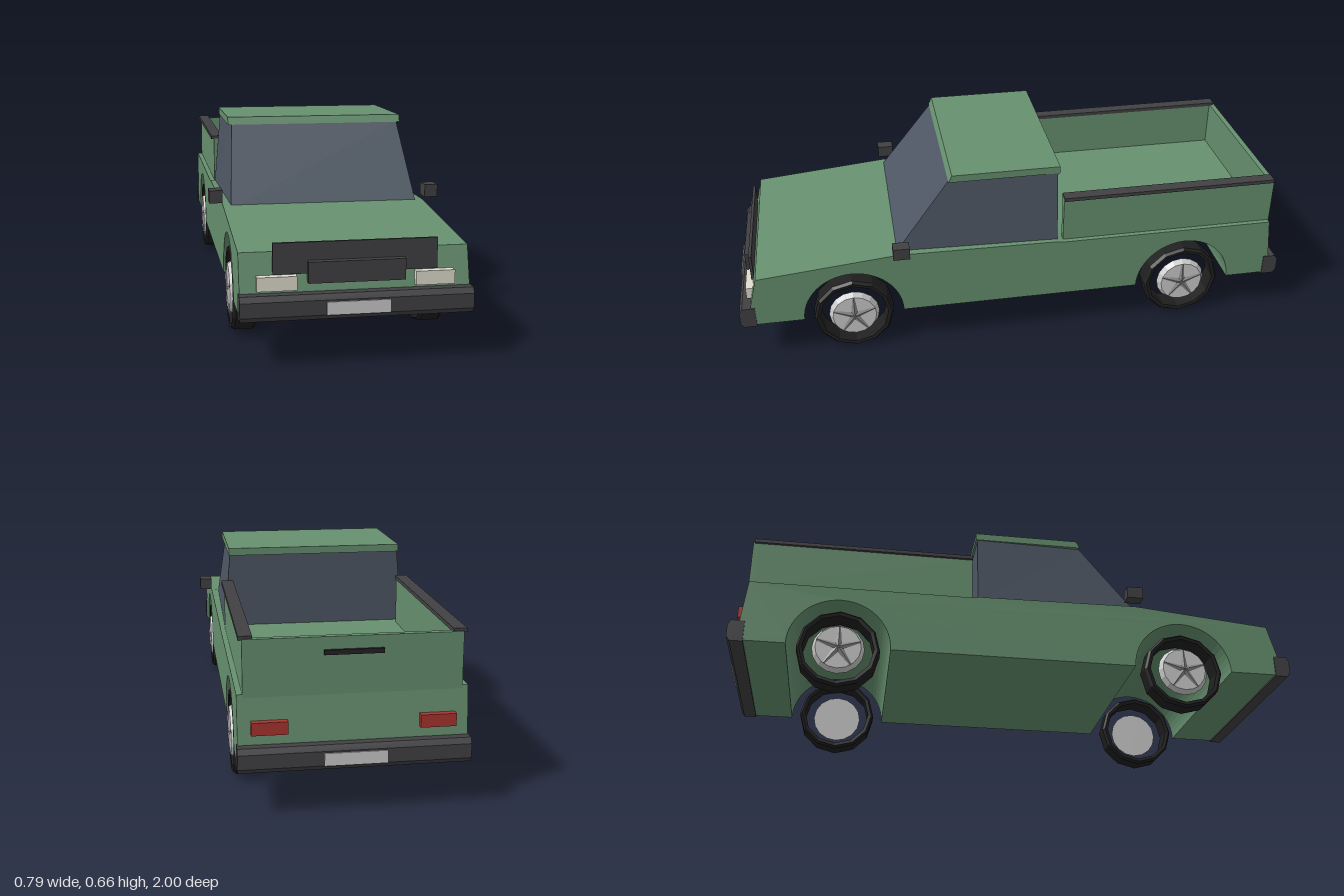
import * as THREE from 'three';

const mat = (color, extra = {}) => new THREE.MeshStandardMaterial({ color, flatShading: true, ...extra });
const paint = mat(0x66906f), glass = mat(0x4d5663), trim = mat(0x414043), black = mat(0x222222);
const rubber = mat(0x1f1f1f, { side: THREE.DoubleSide }), grey = mat(0xcccccc);
const red = mat(0xa8352f), lamp = mat(0xe0dccf);

export function createModel() {
  const model = new THREE.Group();

  const add = (name, geometry, material, parent = model) => {
    const mesh = new THREE.Mesh(geometry, material);
    mesh.name = name;
    parent.add(mesh);
    return mesh;
  };
  // Box given by its limits on each axis
  const box = (name, material, [x0, x1], [y0, y1], [z0, z1], parent) => {
    const g = new THREE.BoxGeometry(x1 - x0, y1 - y0, z1 - z0);
    g.translate((x0 + x1) / 2, (y0 + y1) / 2, (z0 + z1) / 2);
    return add(name, g, material, parent);
  };
  // Side profile in (z, y), swept across the width
  const sweep = (name, material, shape, width) => {
    const g = new THREE.ExtrudeGeometry(shape, { depth: width, bevelEnabled: false, curveSegments: 14 });
    g.rotateY(-Math.PI / 2).translate(width / 2, 0, 0);
    return add(name, g, material);
  };
  const polygon = (pts) => new THREE.Shape(pts.map(([z, y]) => new THREE.Vector2(z, y)));

  const axleY = 0.145, axles = { front: 0.597, rear: -0.623 }, archR = 0.177;

  // Lower body with wheel arches cut right through
  const body = new THREE.Shape();
  body.moveTo(-0.955, axleY);
  for (const z of [axles.rear, axles.front]) {
    body.lineTo(z - archR, axleY);
    body.absarc(z, axleY, archR, Math.PI, 0, true);
  }
  [[0.955, axleY], [0.955, 0.22], [0.925, 0.335], [0.43, 0.382], [-0.14, 0.374], [-0.165, 0.37], [-0.942, 0.37], [-0.958, 0.22]]
    .forEach(([z, y]) => body.lineTo(z, y));
  body.closePath();
  sweep('body', paint, body, 0.7);

  // Glass cab, narrowing upwards and forwards, under a flat roof
  const cab = new THREE.BoxGeometry(1, 1, 1);
  const p = cab.attributes.position;
  for (let i = 0; i < p.count; i++) {
    const top = p.getY(i) > 0, front = p.getZ(i) > 0;
    const x = (top ? 0.308 : 0.332) - (front ? 0.009 : 0);
    p.setXYZ(i, Math.sign(p.getX(i)) * x, top ? 0.64 : 0.37, front ? (top ? 0.235 : 0.44) : -0.145);
  }
  add('cabGlass', cab, glass);
  sweep('roof', paint, polygon([[-0.152, 0.634], [0.24, 0.634], [0.228, 0.66], [-0.152, 0.66]]), 0.624);

  // Cargo bed: open at the cab end
  for (const s of [-1, 1]) {
    const span = (a, b) => (s > 0 ? [a, b] : [-b, -a]);
    const side = s > 0 ? 'left' : 'right';
    box(side + 'BedWall', paint, span(0.305, 0.332), [0.36, 0.535], [-0.94, -0.165]);
    box(side + 'BedRail', trim, span(0.3, 0.342), [0.533, 0.546], [-0.94, -0.165]);
    box(side + 'Mirror', trim, span(0.352, 0.397), [0.393, 0.436], [0.39, 0.448]);
    box(side + 'Headlight', lamp, span(0.18, 0.3), [0.225, 0.268], [0.93, 0.968]);
    box(side + 'TailLight', red, span(0.2, 0.31), [0.25, 0.29], [-0.972, -0.94]);
  }
  box('tailgate', paint, [-0.332, 0.332], [0.36, 0.537], [-0.945, -0.925]);
  box('tailgateHandle', black, [-0.09, 0.09], [0.483, 0.498], [-0.954, -0.94]);

  // Grille panels
  box('grille', trim, [-0.25, 0.25], [0.27, 0.365], [0.938, 0.948]);
  box('grilleCentre', trim, [-0.147, 0.147], [0.245, 0.31], [0.945, 0.972]);

  // Chamfered bumpers with blank plates
  for (const [name, s] of [['front', 1], ['rear', -1]]) {
    const pts = [[0.94, 0.14], [0.985, 0.14], [0.996, 0.155], [0.996, 0.2], [0.985, 0.217], [0.94, 0.217]];
    sweep(name + 'Bumper', trim, polygon(pts.map(([z, y]) => [s * z, y])), 0.706);
    box(name + 'Plate', grey, [-0.096, 0.096], [0.155, 0.195], s > 0 ? [0.98, 1] : [-1, -0.98]);
  }

  // Wheels: ring tyre, smaller hub disc and five spokes, built facing +x
  const tyreProfile = [[0.122, 0.272], [0.134, 0.27], [0.142, 0.28], [0.142, 0.338], [0.134, 0.348], [0.122, 0.346], [0.122, 0.272]]
    .map(([r, x]) => new THREE.Vector2(r, x));
  const tyreGeo = new THREE.LatheGeometry(tyreProfile, 12).rotateZ(-Math.PI / 2);
  const hubGeo = new THREE.CylinderGeometry(0.078, 0.09, 0.02, 16).rotateZ(-Math.PI / 2).translate(0.342, 0, 0);
  const spokeGeo = new THREE.CylinderGeometry(0.006, 0.015, 0.075, 4).translate(0, 0.04, 0).scale(0.5, 1, 1).translate(0.351, 0, 0);
  const spokeMat = mat(0x8c8c8c);
  for (const [end, z] of Object.entries(axles)) {
    for (const s of [-1, 1]) {
      const wheel = new THREE.Group();
      wheel.name = end + (s > 0 ? 'Left' : 'Right') + 'Wheel';
      add('tyre', tyreGeo, rubber, wheel);
      add('hub', hubGeo, grey, wheel);
      for (let i = 0; i < 5; i++) add('spoke', spokeGeo, spokeMat, wheel).rotation.x = (i * 2 * Math.PI) / 5;
      wheel.position.set(0, axleY - 0.003, z);
      if (s < 0) wheel.rotation.y = Math.PI;
      model.add(wheel);
    }
  }
  return model;
}
